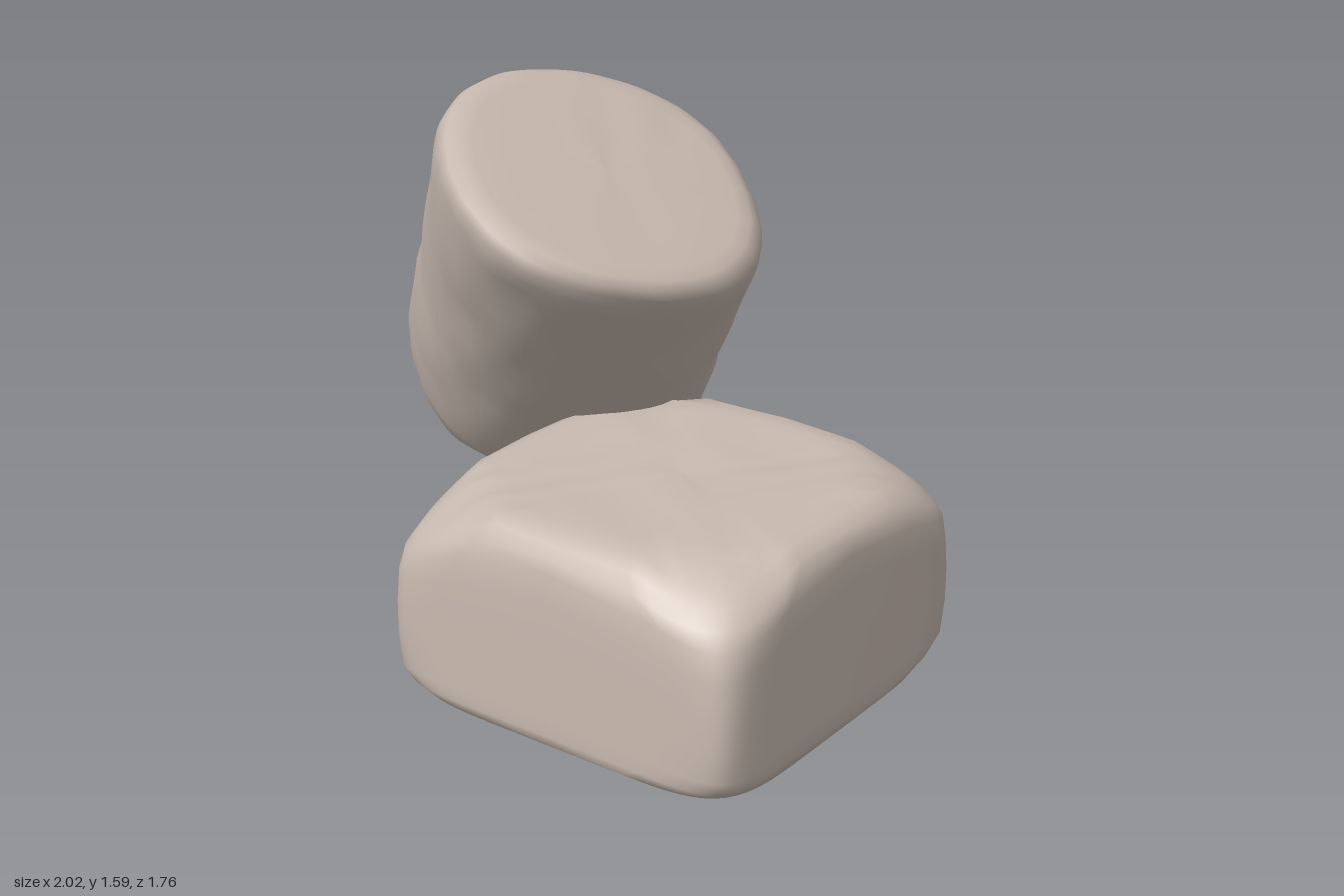
import * as THREE from 'three';

const SIDES = 96;

// Soft, repeatable surface unevenness
function bump(p) {
  return 0.4 * Math.sin(7 * p.x + 4 * p.y + 1) * Math.sin(6 * p.z - 5 * p.y + 2)
    + 0.35 * Math.sin(15 * p.x - 9 * p.z + 3) * Math.sin(13 * p.y + 11 * p.z)
    + 0.25 * Math.sin(23 * p.z + 17 * p.x) * Math.sin(21 * p.y - 19 * p.x + 1);
}

// Unit superellipse: power 2 is a circle, higher powers are squarer
function superellipse(angle, power) {
  const c = Math.cos(angle), s = Math.sin(angle), e = 2 / power;
  return [Math.sign(c) * Math.abs(c) ** e, Math.sign(s) * Math.abs(s) ** e];
}

// Closed skin through rings; pointAt(ring, angle) returns a Vector3
function loft(rings, pointAt) {
  const pos = [], index = [];
  rings.forEach((ring, j) => {
    for (let i = 0; i < SIDES; i++) {
      pos.push(...pointAt(ring, (i / SIDES) * Math.PI * 2).toArray());
      if (j === rings.length - 1) continue;
      const a = j * SIDES + i, b = j * SIDES + (i + 1) % SIDES;
      index.push(a, b, a + SIDES, b, b + SIDES, a + SIDES);
    }
  });
  const geo = new THREE.BufferGeometry();
  geo.setAttribute('position', new THREE.Float32BufferAttribute(pos, 3));
  geo.setIndex(index);
  geo.computeVertexNormals();
  return geo;
}

// Flat-lying squared stone with its upper corners worn down
function blockGeometry() {
  // [height, x min, x max, z min, z max, power]
  const rings = [];
  const bottom = [0, -0.15, 0.995, -0.23, 0.875, 6];
  const top = [0.605, -0.09, 0.93, -0.22, 0.79, 6];
  const shrink = (r, k) => {
    const cx = (r[1] + r[2]) / 2, cz = (r[3] + r[4]) / 2;
    return [r[0], cx + (r[1] - cx) * k, cx + (r[2] - cx) * k, cz + (r[3] - cz) * k, cz + (r[4] - cz) * k, r[5]];
  };
  for (const k of [0, 0.5, 0.97]) rings.push(shrink(bottom, k));
  rings.push(bottom,
    [0.03, -0.175, 1, -0.27, 0.88, 8],
    [0.08, -0.19, 1, -0.305, 0.88, 11],
    [0.2, -0.19, 1, -0.31, 0.88, 13],
    [0.32, -0.19, 1, -0.31, 0.88, 13],
    [0.44, -0.19, 1, -0.31, 0.88, 11],
    [0.52, -0.185, 1, -0.305, 0.875, 9],
    [0.56, -0.165, 0.99, -0.295, 0.86, 7],
    [0.585, -0.135, 0.97, -0.265, 0.83, 6],
    top);
  for (const k of [0.88, 0.75, 0.6, 0.45, 0.3, 0.15, 0]) rings.push(shrink(top, k));
  return loft(rings, ([y, x0, x1, z0, z1, power], angle) => {
    const [u, v] = superellipse(angle, power);
    const p = new THREE.Vector3((x0 + x1) / 2 + v * (x1 - x0) / 2, y, (z0 + z1) / 2 + u * (z1 - z0) / 2);
    if (y > 0.5) p.y += 0.012 * bump(p) + 0.01 * Math.sin((p.x - 0.2) * 2.6);
    const corner = Math.abs(p.x - 0.405) / 0.595 + Math.abs(p.z - 0.285) / 0.595;
    p.y *= 1 - 0.3 * Math.max(0, corner - 1.27);
    return p;
  });
}

// Leaning round stone, its two ends cut at different slants
function leaningGeometry() {
  const base = new THREE.Vector3(-0.635, 0.48, -0.465);
  const axis = new THREE.Vector3(0.67, 0.905, 0.595);
  const length = axis.length(), radius = 0.483;
  axis.normalize();
  const lowNormal = new THREE.Vector3(0.5, 0.77, 0.4), topNormal = new THREE.Vector3(0.47, 0.88, 0);
  const slant = (offset, normal) => -offset.dot(normal) / axis.dot(normal);
  const e1 = new THREE.Vector3(0, 1, 0).cross(axis).normalize();
  const e2 = axis.clone().cross(e1);
  // [fraction of length, fraction of radius]
  const rings = [[0, 0], [0, 0.3], [0, 0.6], [0.006, 0.8], [0.025, 0.91], [0.06, 0.97], [0.11, 1]];
  for (let t = 0.18; t < 0.9; t += 0.07) rings.push([t, 1]);
  rings.push([0.92, 1], [0.955, 0.985], [0.98, 0.95], [0.995, 0.89], [1, 0.8],
    [1.002, 0.6], [1.003, 0.4], [1.003, 0.2], [1.003, 0]);
  return loft(rings, ([t, scale], angle) => {
    const [u, v] = superellipse(angle, 2.25);
    const offset = e1.clone().multiplyScalar(u).addScaledVector(e2, v).multiplyScalar(radius * scale);
    const shift = THREE.MathUtils.lerp(slant(offset, lowNormal), slant(offset, topNormal), t);
    const p = base.clone().add(offset).addScaledVector(axis, t * length + shift);
    const b = 0.012 * bump(p);
    return p.addScaledVector(offset, b / radius).addScaledVector(axis, b * (1 - scale) * 0.8);
  });
}

export function createModel() {
  const stone = new THREE.MeshStandardMaterial({ color: 0xc8bab0 });
  stone.name = 'warm grey stone';
  const group = new THREE.Group();
  group.name = 'stones';
  const parts = { flatStone: blockGeometry(), leaningStone: leaningGeometry() };
  for (const [name, geometry] of Object.entries(parts)) {
    const mesh = new THREE.Mesh(geometry, stone);
    mesh.name = name;
    group.add(mesh);
  }
  return group;
}
